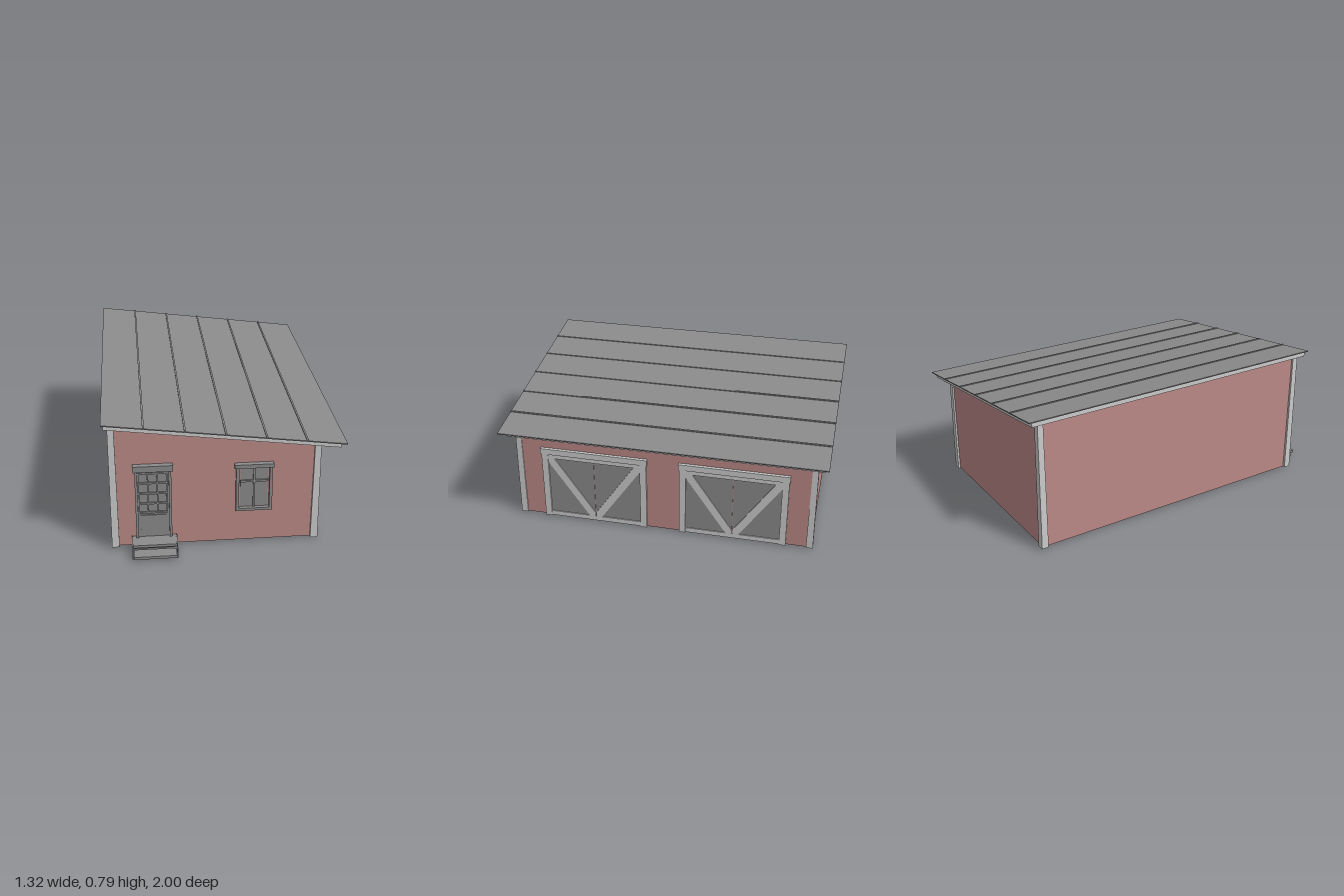
import * as THREE from 'three';

export function createModel() {
  const model = new THREE.Group();
  model.name = 'garage';
  const mat = (name, color) => {
    const m = new THREE.MeshStandardMaterial({ color });
    m.name = name;
    return m;
  };
  const red = mat('wall red', 0xbc8a87);
  const pale = mat('pale trim', 0xcccccc);
  const grey = mat('grey', 0x8b8b8b);

  const add = (name, geo, material, parent = model) => {
    const mesh = new THREE.Mesh(geo, material);
    mesh.name = name;
    parent.add(mesh);
    return mesh;
  };
  // Box given by its limits on each axis
  const box = (name, material, parent, x0, x1, y0, y1, z0, z1) => {
    const geo = new THREE.BoxGeometry(x1 - x0, y1 - y0, z1 - z0);
    geo.translate((x0 + x1) / 2, (y0 + y1) / 2, (z0 + z1) / 2);
    return add(name, geo, material, parent);
  };
  // Outline in x and y, pulled from z0 to z1
  const prism = (name, material, parent, points, z0, z1) => {
    const shape = new THREE.Shape(points.map(p => new THREE.Vector2(...p)));
    const geo = new THREE.ExtrudeGeometry(shape, { depth: z1 - z0, bevelEnabled: false });
    geo.translate(0, 0, z0);
    return add(name, geo, material, parent);
  };
  const group = name => {
    const g = new THREE.Group();
    g.name = name;
    model.add(g);
    return g;
  };

  // Height of the sloping roof surface
  const roofY = x => 0.71 - 0.128 * x;
  const slab = (x0, x1, top, bottom) => [
    [x0, roofY(x0) - bottom], [x1, roofY(x1) - bottom], [x1, roofY(x1) - top], [x0, roofY(x0) - top],
  ];

  // Walls and floor
  prism('walls', red, model, [
    [-0.62, 0.01], [0.525, 0.01], [0.525, roofY(0.525) - 0.02], [-0.62, roofY(-0.62) - 0.02],
  ], -0.93, 0.84);

  // Roof: pale board under a thin metal sheet with raised seams
  const roof = group('roof');
  prism('roofBoard', pale, roof, slab(-0.65, 0.63, 0.006, 0.034), -0.98, 0.89);
  prism('roofSheet', grey, roof, slab(-0.662, 0.66, 0, 0.006), -1, 0.908);
  for (let i = -2; i <= 2; i++) {
    const x = i * 0.22;
    prism('roofSeam', grey, roof, slab(x - 0.005, x + 0.005, -0.005, 0.001), -1, 0.908);
  }

  // Corner posts, a little wider at the foot, cut to the roof slope
  const posts = group('cornerPosts');
  for (const [x, sx] of [[-0.613, -1], [0.512, 1]]) {
    for (const [z, sz] of [[0.835, 1], [-0.922, -1]]) {
      const geo = new THREE.BoxGeometry(0.042, 1, 0.04);
      const p = geo.attributes.position;
      for (let i = 0; i < p.count; i++) {
        const up = p.getY(i) > 0;
        const k = up ? 0.84 : 1;
        const px = x + p.getX(i) * k;
        p.setXYZ(i, px, up ? roofY(px) - 0.03 : 0.008, z + p.getZ(i) * k);
      }
      geo.computeVertexNormals();
      add((sz > 0 ? 'front' : 'back') + (sx > 0 ? 'Left' : 'Right') + 'Post', geo, pale, posts);
    }
  }

  // Front door with panes, lower panel and frame
  const door = group('frontDoor');
  box('doorLeaf', grey, door, -0.482, -0.308, 0.065, 0.49, 0.835, 0.846);
  for (const x of [-0.495, -0.309]) box('doorJamb', grey, door, x, x + 0.014, 0.062, 0.487, 0.835, 0.86);
  box('doorHeader', grey, door, -0.505, -0.285, 0.485, 0.521, 0.835, 0.872);
  box('doorPanel', grey, door, -0.468, -0.325, 0.085, 0.205, 0.84, 0.851);
  for (const x of [-0.476, -0.424, -0.372, -0.32]) {
    box('doorUprightBar', grey, door, x - 0.004, x + 0.004, 0.222, 0.47, 0.84, 0.853);
  }
  for (const y of [0.222, 0.28, 0.343, 0.407, 0.468]) {
    box('doorCrossBar', grey, door, -0.48, -0.316, y - 0.005, y + 0.005, 0.84, 0.854);
  }

  // Front window
  const win = group('frontWindow');
  box('windowPane', grey, win, 0.086, 0.24, 0.229, 0.476, 0.835, 0.844);
  for (const x of [0.061, 0.247]) box('windowJamb', grey, win, x, x + 0.017, 0.212, 0.482, 0.835, 0.86);
  box('windowSill', grey, win, 0.061, 0.264, 0.209, 0.225, 0.835, 0.862);
  box('windowHeader', grey, win, 0.052, 0.268, 0.48, 0.503, 0.835, 0.87);
  box('windowMullion', grey, win, 0.157, 0.168, 0.229, 0.476, 0.84, 0.852);
  box('windowTransom', grey, win, 0.086, 0.24, 0.386, 0.397, 0.84, 0.853);

  // Open steps: two treads on bent side plates
  const steps = group('doorSteps');
  box('upperTread', grey, steps, -0.517, -0.273, 0.049, 0.065, 0.84, 0.938);
  box('lowerTread', grey, steps, -0.513, -0.277, 0.014, 0.03, 0.925, 1);
  box('stepRiserBar', grey, steps, -0.513, -0.277, 0.034, 0.04, 0.915, 0.921);
  const side = [[-0.84, 0.035], [-0.9, 0.03], [-0.94, 0.008], [-0.975, 0], [-0.975, 0.022], [-0.945, 0.042], [-0.9, 0.066], [-0.84, 0.07]];
  for (const x of [-0.522, -0.274]) {
    const plate = prism('stepSide', grey, steps, side, 0, 0.006);
    plate.rotation.y = Math.PI / 2;
    plate.position.x = x;
  }

  // Garage doors on the left wall
  for (const zc of [0.375, -0.462]) {
    const g = group('garageDoor');
    g.position.z = zc;
    for (const s of [-1, 1]) {
      const span = (a, b) => (s > 0 ? [a, b] : [-b, -a]);
      box('doorLeaf', grey, g, 0.515, 0.529, 0.012, 0.425, ...span(0.002, 0.285));
      box('doorPost', pale, g, 0.515, 0.539, 0.008, 0.45, ...span(0.281, 0.32));
      // Diagonal brace from the top outer corner to the bottom middle
      const brace = prism('doorBrace', pale, g, [
        [0.004, 0.035], [0.035, 0.035], [0.281, 0.392], [0.281, 0.42], [0.244, 0.42], [0.004, 0.068],
      ].map(([z, y]) => [-z * s, y]), 0.52, 0.535);
      brace.rotation.y = Math.PI / 2;
    }
    box('bottomRail', pale, g, 0.515, 0.534, 0.01, 0.04, -0.285, 0.285);
    box('topRail', pale, g, 0.515, 0.537, 0.418, 0.448, -0.29, 0.29);
    box('doorHeader', pale, g, 0.515, 0.544, 0.446, 0.483, -0.325, 0.325);
  }
  return model;
}
